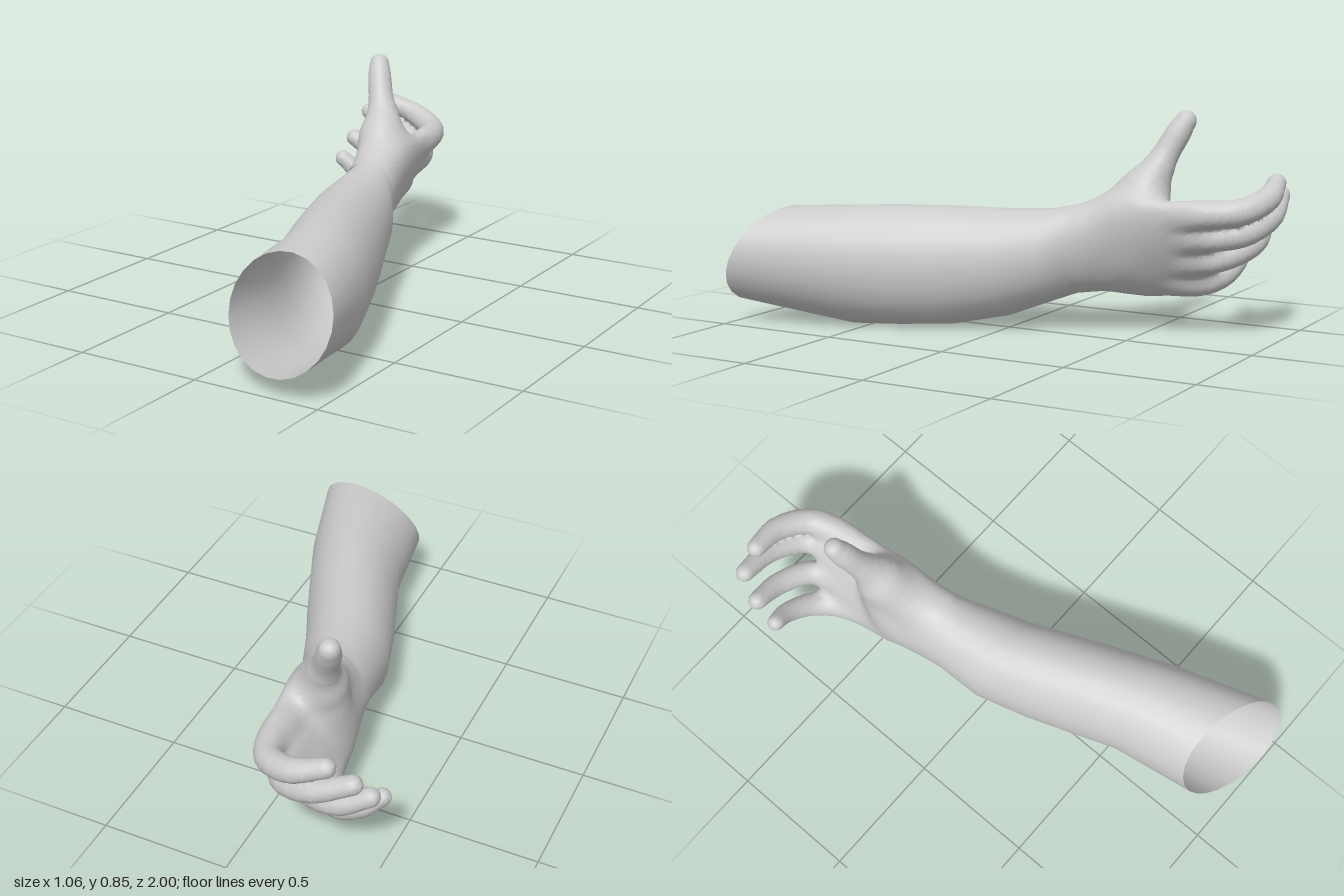
import * as THREE from 'three';

const skin = new THREE.MeshStandardMaterial({ color: 0xcccccc, side: THREE.DoubleSide });
const lerp = THREE.MathUtils.lerp;

// Forearm to palm: z, centre x, centre y, half axes, tilt, slant of z along x and y
const sections = [
  [0.905, 0.29, 0.265, 0.237, 0.195, 0, 0.2, -0.43],
  [0.55, 0.21, 0.238, 0.2, 0.234, 0, 0, 0],
  [0.38, 0.142, 0.24, 0.197, 0.236, 0, 0, 0],
  [0.2, 0.07, 0.243, 0.192, 0.232, 0, 0, 0],
  [0, -0.008, 0.26, 0.178, 0.209, 0, 0, 0],
  [-0.17, -0.05, 0.297, 0.15, 0.179, 0, 0, 0],
  [-0.25, -0.08, 0.32, 0.175, 0.128, 75, 0, 0],
  [-0.35, -0.105, 0.337, 0.187, 0.114, 70, 0, 0],
  [-0.43, -0.12, 0.34, 0.207, 0.1, 67, 0, -0.05],
  [-0.52, -0.13, 0.337, 0.215, 0.085, 65, 0, -0.1],
  [-0.6, -0.142, 0.338, 0.213, 0.072, 63, 0, -0.17],
  [-0.67, -0.155, 0.342, 0.205, 0.062, 63, 0, -0.25],
  [-0.73, -0.168, 0.35, 0.188, 0.051, 63, 0, -0.35],
  [-0.775, -0.182, 0.36, 0.16, 0.038, 62, 0, -0.42],
  [-0.8, -0.19, 0.367, 0.13, 0.02, 62, 0, -0.45],
];

// Digits: x, y, z, radius along each centre line
const fingerPaths = [
  [[-0.095, 0.46, -0.57, 0.02], [-0.083, 0.475, -0.7, 0.046], [-0.09, 0.486, -0.8, 0.05],
    [-0.135, 0.498, -0.895, 0.05], [-0.25, 0.538, -0.953, 0.046], [-0.372, 0.585, -0.94, 0.036]],
  [[-0.125, 0.38, -0.58, 0.02], [-0.12, 0.388, -0.71, 0.046], [-0.138, 0.397, -0.81, 0.05],
    [-0.19, 0.413, -0.89, 0.049], [-0.32, 0.462, -0.94, 0.045], [-0.463, 0.53, -0.923, 0.036]],
  [[-0.16, 0.29, -0.56, 0.02], [-0.172, 0.293, -0.68, 0.046], [-0.2, 0.3, -0.76, 0.049],
    [-0.26, 0.318, -0.82, 0.047], [-0.38, 0.356, -0.86, 0.044], [-0.495, 0.422, -0.848, 0.036]],
  [[-0.19, 0.22, -0.5, 0.02], [-0.22, 0.205, -0.62, 0.047], [-0.26, 0.2, -0.69, 0.05],
    [-0.33, 0.225, -0.75, 0.046], [-0.43, 0.288, -0.775, 0.04], [-0.5, 0.348, -0.758, 0.033]],
];
const thumbPath = [[-0.1, 0.39, -0.27, 0.03], [-0.115, 0.45, -0.38, 0.07], [-0.14, 0.54, -0.48, 0.088],
  [-0.163, 0.61, -0.53, 0.069], [-0.193, 0.69, -0.565, 0.051], [-0.222, 0.77, -0.603, 0.048],
  [-0.237, 0.815, -0.627, 0.04]];
const thumbPadPath = [[-0.12, 0.24, -0.36, 0.02], [-0.15, 0.32, -0.43, 0.07], [-0.158, 0.42, -0.48, 0.083],
  [-0.152, 0.52, -0.51, 0.08]];

function sectionAt(z) {
  let i = 0;
  while (i < sections.length - 2 && z < sections[i + 1][0]) i++;
  const f = Math.min(1, (z - sections[i][0]) / (sections[i + 1][0] - sections[i][0]));
  return sections[i].map((v, k) => lerp(v, sections[i + 1][k], f));
}

// Open tube through the forearm sections
function forearm(sides) {
  const rings = [...sections.slice(0, 7), sectionAt(-0.275)], points = [], index = [];
  rings.forEach(([z, cx, cy, a, b, tilt, slantX, slantY], i) => {
    const t = THREE.MathUtils.degToRad(tilt);
    for (let j = 0; j < sides; j++) {
      const w = -j / sides * Math.PI * 2 - t, p = a * Math.cos(w), q = b * Math.sin(w);
      const x = p * Math.cos(t) - q * Math.sin(t), y = p * Math.sin(t) + q * Math.cos(t);
      points.push(new THREE.Vector3(cx + x, cy + y, z + slantX * x + slantY * y));
      const k = i * sides + j, next = i * sides + (j + 1) % sides;
      if (i < rings.length - 1) index.push(k, next, k + sides, next, next + sides, k + sides);
    }
  });
  return [points, index];
}

// Distance to the palm and wrist
function palmDistance(x, y, z) {
  const [, , midY, , , , , slant] = sectionAt(z);
  const flatZ = z - slant * (y - midY);
  const [, cx, cy, a, b, tilt] = sectionAt(flatZ);
  const t = THREE.MathUtils.degToRad(tilt), c = Math.cos(t), s = Math.sin(t);
  const p = ((x - cx) * c + (y - cy) * s) / a, q = ((y - cy) * c - (x - cx) * s) / b;
  const k = Math.hypot(p, q);
  return Math.max(k * (k - 1) / (Math.hypot(p / a, q / b) + 1e-6), -0.8 - flatZ);
}

// Distance to a tapered digit, as a chain of round segments
function digitDistance(path) {
  const curve = new THREE.CatmullRomCurve3(path.map(p => new THREE.Vector3(p[0], p[1], p[2])));
  const radius = new THREE.SplineCurve(path.map((p, i) => new THREE.Vector2(i, p[3])));
  const n = 16, c = curve.getPoints(n), r = radius.getPoints(n).map(v => v.y);
  return (x, y, z) => {
    let best = Infinity;
    for (let i = 0; i < n; i++) {
      const a = c[i], dx = c[i + 1].x - a.x, dy = c[i + 1].y - a.y, dz = c[i + 1].z - a.z;
      const px = x - a.x, py = y - a.y, pz = z - a.z;
      const t = Math.min(1, Math.max(0, (px * dx + py * dy + pz * dz) / (dx * dx + dy * dy + dz * dz)));
      const ex = px - t * dx, ey = py - t * dy, ez = pz - t * dz;
      best = Math.min(best, Math.sqrt(ex * ex + ey * ey + ez * ez) - lerp(r[i], r[i + 1], t));
    }
    return best;
  };
}

// Smooth union
function blend(a, b, k) {
  const h = Math.max(k - Math.abs(a - b), 0) / k;
  return Math.min(a, b) - h * h * k / 4;
}

// Skin drawn over the zero level of a distance field, one point per crossed cell
function skinOver(field, min, max, step) {
  const size = min.map((v, i) => Math.round((max[i] - v) / step) + 1);
  const stride = [1, size[0], size[0] * size[1]];
  const value = new Float32Array(size[0] * size[1] * size[2]);
  const cellPoint = new Int32Array(value.length).fill(-1), points = [], index = [];
  const eachNode = visit => {
    for (let k = 0; k < size[2]; k++)
      for (let j = 0; j < size[1]; j++)
        for (let i = 0; i < size[0]; i++) visit([i, j, k], i + j * stride[1] + k * stride[2]);
  };
  eachNode((g, id) => { value[id] = field(...g.map((v, i) => min[i] + v * step)); });
  eachNode((g, id) => {
    if (g.some((v, i) => v === size[i] - 1)) return;
    const sum = new THREE.Vector3();
    let count = 0;
    for (let corner = 0; corner < 8; corner++) {
      const o = [corner & 1, corner >> 1 & 1, corner >> 2];
      const from = id + o[0] + o[1] * stride[1] + o[2] * stride[2];
      for (let axis = 0; axis < 3; axis++) {
        const a = value[from], b = value[from + stride[axis]];
        if (o[axis] || (a < 0) === (b < 0)) continue;
        const at = o.slice();
        at[axis] = a / (a - b);
        sum.add(new THREE.Vector3(...at));
        count++;
      }
    }
    if (!count) return;
    cellPoint[id] = points.length;
    points.push(sum.divideScalar(count).add(new THREE.Vector3(...g)).multiplyScalar(step)
      .add(new THREE.Vector3(...min)));
  });
  eachNode((g, id) => {
    for (let axis = 0; axis < 3; axis++) {
      const u = (axis + 1) % 3, v = (axis + 2) % 3;
      if (g[axis] >= size[axis] - 1 || !g[u] || !g[v] || g[u] >= size[u] - 1 || g[v] >= size[v] - 1) continue;
      const inside = value[id] < 0;
      if (inside === value[id + stride[axis]] < 0) continue;
      const q = [id - stride[u] - stride[v], id - stride[v], id, id - stride[u]].map(c => cellPoint[c]);
      if (!inside) q.reverse();
      index.push(q[0], q[1], q[2], q[0], q[2], q[3]);
    }
  });
  return [points, index];
}

function makeMesh(name, [points, index]) {
  const geometry = new THREE.BufferGeometry().setFromPoints(points);
  geometry.setIndex(index);
  geometry.computeVertexNormals();
  const mesh = new THREE.Mesh(geometry, skin);
  mesh.name = name;
  return mesh;
}

export function createModel() {
  const model = new THREE.Group();
  model.name = 'forearmAndHand';
  model.add(makeMesh('forearm', forearm(24)));

  // Wrist, palm, thumb and curled fingers as one skin
  const fingers = fingerPaths.map(digitDistance);
  const thumb = digitDistance(thumbPath), thumbPad = digitDistance(thumbPadPath);
  const hand = (x, y, z) => {
    const finger = Math.min(...fingers.map(f => f(x, y, z)));
    const thumbSide = blend(thumb(x, y, z), thumbPad(x, y, z), 0.05);
    return blend(blend(palmDistance(x, y, z), finger, 0.04), thumbSide, 0.07);
  };
  model.add(makeMesh('hand', skinOver(hand, [-0.58, 0.09, -1.03], [0.1, 0.9, -0.25], 0.012)));
  return model;
}
